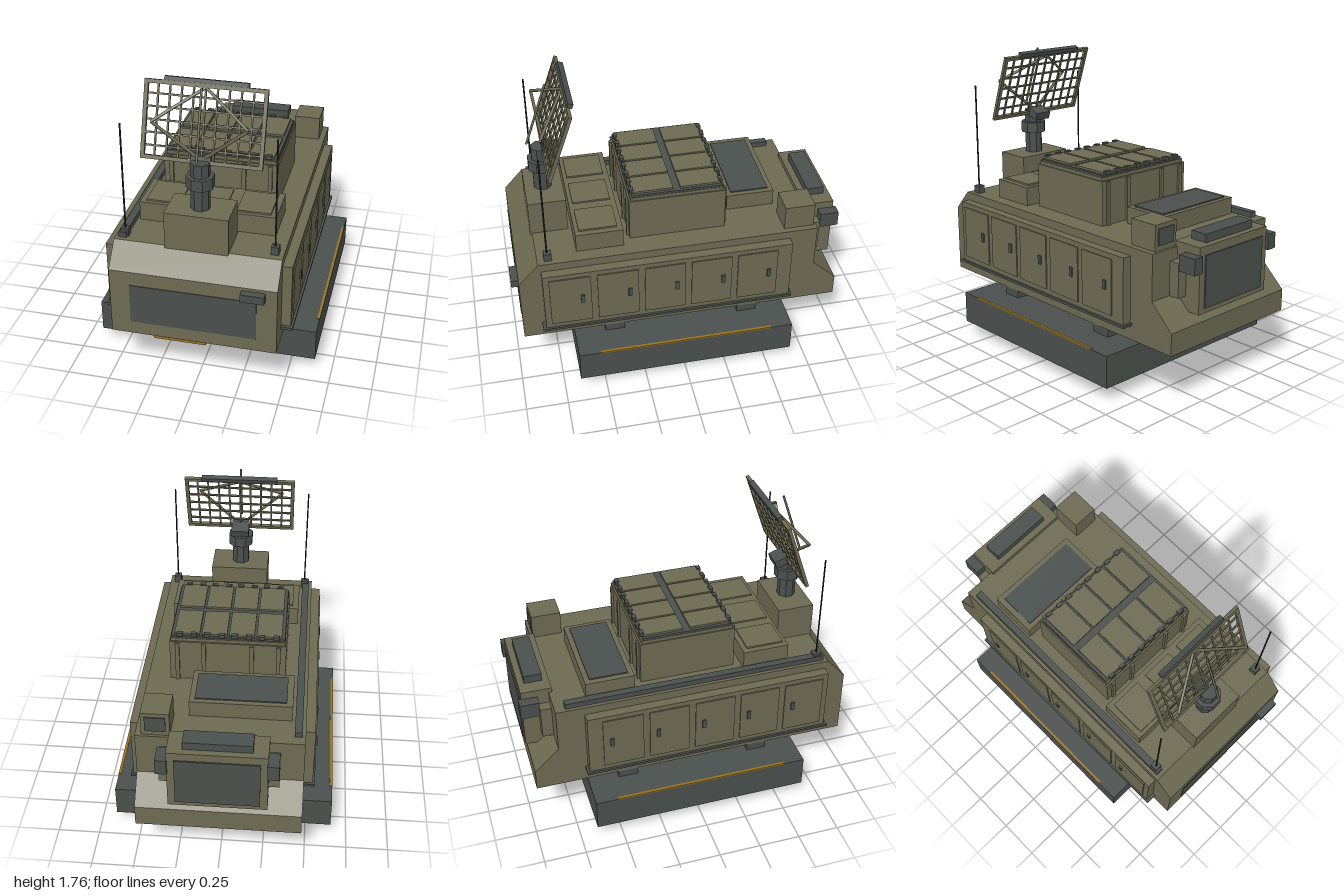
import * as THREE from 'three';

const mat = (name, color) => Object.assign(new THREE.MeshStandardMaterial({ color }), { name });

export function createModel() {
  const model = new THREE.Group();
  const olive = mat('olive', 0x6d6a52), grey = mat('dark grey', 0x4a504d);
  const yellow = mat('yellow', 0x9c741c), black = mat('black', 0x262826), pale = mat('pale grey', 0x9a9a90);

  const add = (name, geo, material, parent = model) => {
    const m = new THREE.Mesh(geo, material);
    m.name = name;
    parent.add(m);
    return m;
  };
  // Box given by its extents on each axis
  const box = (name, material, [x0, x1], [y0, y1], [z0, z1], parent) => {
    const m = add(name, new THREE.BoxGeometry(x1 - x0, y1 - y0, z1 - z0), material, parent);
    m.position.set((x0 + x1) / 2, (y0 + y1) / 2, (z0 + z1) / 2);
    return m;
  };
  // Faceted upright cylinder
  const drum = (name, material, r, y0, y1, x, z, sides = 8) => {
    const g = new THREE.CylinderGeometry(r, r, y1 - y0, sides).toNonIndexed();
    g.computeVertexNormals();
    g.rotateY(Math.PI / sides);
    const m = add(name, g, material);
    m.position.set(x, (y0 + y1) / 2, z);
    return m;
  };
  // Round bar between two points
  const bar = (name, material, a, b, r, parent) => {
    const p = new THREE.Vector3(...a), q = new THREE.Vector3(...b), d = q.clone().sub(p);
    const m = add(name, new THREE.CylinderGeometry(r, r, d.length(), 6), material, parent);
    m.position.copy(p).add(q).multiplyScalar(0.5);
    m.quaternion.setFromUnitVectors(new THREE.Vector3(0, 1, 0), d.normalize());
    return m;
  };

  // Base slab with edge strips and turntable
  box('baseSlab', grey, [-0.652, 0.652], [0.087, 0.28], [-0.652, 0.655]);
  for (const s of [-1, 1]) {
    box('edgeStrip', yellow, [s * 0.645 - 0.008, s * 0.645 + 0.008], [0.276, 0.284], [-0.52, 0.525]);
    for (const t of [-1, 1])
      box('turntableBlock', grey, [s * 0.41 - 0.06, s * 0.41 + 0.06], [0.28, 0.335], [t * 0.41 - 0.06, t * 0.41 + 0.06]);
  }
  drum('turntable', grey, 0.35, 0.28, 0.335, 0, 0, 16);

  // Front coupling with its yellow frame
  for (const y of [0.088, 0.266]) box('couplingFrame', yellow, [-0.322, -0.002], [y, y + 0.016], [0.65, 0.68]);
  for (const x of [-0.322, -0.018]) box('couplingFrame', yellow, [x, x + 0.016], [0.088, 0.282], [0.65, 0.68]);
  [[0.06, 0.70], [0.055, 0.715], [0.03, 0.738]].forEach(([r, z]) => {
    const m = add('coupling', new THREE.CylinderGeometry(r, r, z - 0.65, 16), grey);
    m.rotation.x = Math.PI / 2;
    m.position.set(-0.162, 0.19, (z + 0.65) / 2);
  });

  // Hull, a side profile extruded across
  const profile = [[0.957, 0.33], [0.957, 0.74], [0.84, 0.87], [-0.82, 0.87], [-0.82, 0.6], [-0.967, 0.46], [-0.967, 0.33]];
  const hull = new THREE.ExtrudeGeometry(new THREE.Shape(profile.map(p => new THREE.Vector2(...p))), { depth: 0.95, bevelEnabled: false });
  hull.translate(0, 0, -0.475).rotateY(-Math.PI / 2);
  add('hull', hull, olive);
  box('frontPanel', grey, [-0.36, 0.36], [0.41, 0.655], [0.954, 0.961]);
  box('frontLamp', grey, [0.277, 0.41], [0.675, 0.722], [0.95, 1.0]);

  // Side lockers with doors and handles
  for (const s of [-1, 1]) {
    const span = (a, b) => (s > 0 ? [a, b] : [-b, -a]);
    box('sideLocker', olive, span(0.47, 0.53), [0.43, 0.82], [-0.655, 0.825]);
    box('lockerLedge', grey, span(0.47, 0.543), [0.415, 0.43], [-0.67, 0.845]);
    for (let i = 0; i < 5; i++) {
      const z = 0.67 - i * 0.279;
      box('lockerDoor', olive, span(0.525, 0.537), [0.46, 0.79], [z - 0.121, z + 0.121]);
      box('doorHandle', grey, span(0.53, 0.546), [0.605, 0.66], [z - 0.08, z - 0.058]);
    }
    // Whip aerials
    box('aerialBase', grey, [s * 0.425 - 0.022, s * 0.425 + 0.022], [0.87, 0.917], [0.755, 0.8]);
    bar('aerial', black, [s * 0.425, 0.9, 0.78], [s * 0.425, 1.558, 0.78], 0.005);
  }
  box('deckRail', grey, [-0.455, -0.412], [0.865, 0.902], [-0.76, 0.815]);

  // Central launch box, lids, hinges and ribs
  box('launchBox', olive, [-0.34, 0.34], [0.86, 1.135], [-0.285, 0.285]);
  box('launchBoxRim', olive, [-0.333, 0.333], [1.13, 1.155], [-0.275, 0.275]);
  box('lidSeat', grey, [-0.33, 0.33], [1.15, 1.168], [-0.265, 0.265]);
  for (let i = 0; i < 4; i++) {
    const x = -0.2385 + i * 0.159;
    for (const s of [-1, 1]) {
      box('launchLid', olive, [x - 0.073, x + 0.073], [1.16, 1.18], [s * 0.14 - 0.119, s * 0.14 + 0.119]);
      for (const d of [-0.042, 0.042])
        box('lidHinge', grey, [x + d - 0.018, x + d + 0.018], [1.165, 1.187], [s * 0.262 - 0.012, s * 0.262 + 0.012]);
      const rx = [-0.295, -0.14, 0.14, 0.295][i];
      box('launchBoxRib', olive, [rx - 0.012, rx + 0.012], [0.87, 1.13], [s * 0.288 - 0.01, s * 0.288 + 0.01]);
    }
  }

  // Forward equipment box with three hatches
  box('forwardBox', olive, [-0.395, 0.395], [0.86, 0.985], [0.33, 0.608]);
  for (const x of [-0.262, 0, 0.262]) box('forwardHatch', olive, [x - 0.098, x + 0.098], [0.98, 0.995], [0.36, 0.585]);

  // Rear equipment box with grille
  box('rearBox', olive, [-0.395, 0.192], [0.86, 0.97], [-0.625, -0.335]);
  box('rearGrille', grey, [-0.36, 0.162], [0.968, 0.977], [-0.595, -0.365]);

  // Sight housing
  box('sightHousing', olive, [0.278, 0.44], [0.86, 1.02], [-0.805, -0.625]);
  box('sightWindow', grey, [0.3, 0.418], [0.9, 0.995], [-0.811, -0.803]);

  // Rear cooling unit
  box('coolingUnit', olive, [-0.28, 0.28], [0.515, 0.9], [-0.982, -0.8]);
  box('coolingScreen', grey, [-0.238, 0.238], [0.545, 0.85], [-0.99, -0.981]);
  box('coolingCap', grey, [-0.195, 0.193], [0.895, 0.948], [-0.945, -0.84]);
  for (const s of [-1, 1]) {
    const x = s > 0 ? [0.275, 0.34] : [-0.34, -0.275];
    box('sideBracket', olive, x, [0.6, 0.8], [-0.885, -0.81]);
    box('rearLamp', grey, x, [0.76, 0.855], [-1.0, -0.887]);
  }

  // Radar pedestal and mast
  box('radarPedestal', olive, [-0.18, 0.18], [0.86, 1.083], [0.628, 0.852]);
  drum('radarMast', grey, 0.055, 1.08, 1.36, 0, 0.743);
  drum('mastCollar', grey, 0.08, 1.215, 1.282, 0, 0.743);
  const head = box('radarHead', grey, [-0.055, 0.055], [1.318, 1.368], [0.64, 0.735]);
  head.rotation.x = -0.333;

  // Tilted radar lattice
  const radar = new THREE.Group();
  radar.name = 'radarAntenna';
  radar.position.set(0, 1.54, 0.655);
  radar.rotation.x = -0.333;
  model.add(radar);
  for (const s of [-1, 1]) {
    box('latticeFrame', olive, [-0.337, 0.337], [s * 0.204 - 0.011, s * 0.204 + 0.011], [-0.01, 0.01], radar);
    box('latticeFrame', olive, [s * 0.326 - 0.011, s * 0.326 + 0.011], [-0.215, 0.215], [-0.01, 0.01], radar);
    for (const t of [-1, 1]) bar('feedStrut', olive, [s * 0.262, 0, 0.1], [0, t * 0.195, 0], 0.009, radar);
  }
  for (let i = -4; i <= 4; i++) box('latticeUpright', olive, [i * 0.065 - 0.005, i * 0.065 + 0.005], [-0.2, 0.2], [-0.005, 0.005], radar);
  for (let i = -2; i <= 2; i++) box('latticeCrossbar', olive, [-0.32, 0.32], [i * 0.07 - 0.005, i * 0.07 + 0.005], [-0.005, 0.005], radar);
  bar('feedRod', olive, [0, -0.2, 0.1], [0, 0.2, 0.1], 0.007, radar);
  box('topArray', grey, [-0.23, 0.23], [0.21, 0.238], [-0.025, 0.007], radar);

  // Missile recessed in the underside
  const missile = new THREE.Group();
  missile.name = 'missile';
  missile.position.y = 0.085;
  model.add(missile);
  const lathe = pts => new THREE.LatheGeometry(pts.map(p => new THREE.Vector2(...p)), 16).rotateX(-Math.PI / 2);
  add('missileBody', lathe([[0, -0.485], [0.032, -0.485], [0.036, -0.3], [0.036, 0.27]]), pale, missile);
  add('missileBand', lathe([[0.036, 0.228], [0.04, 0.228], [0.04, 0.272], [0.036, 0.272]]), yellow, missile);
  add('missileNose', lathe([[0.036, 0.27], [0.024, 0.36], [0, 0.47]]), pale, missile);
  for (const s of [-1, 1]) {
    for (const [z0, z1, len] of [[0.315, 0.46, 0.112], [-0.225, -0.16, 0.075]]) {
      const fin = new THREE.Group();
      fin.rotation.z = s * Math.PI / 4;
      missile.add(fin);
      box('missileFin', pale, [-0.003, 0.003], [-len, 0], [z0, z1], fin);
    }
  }
  return model;
}
